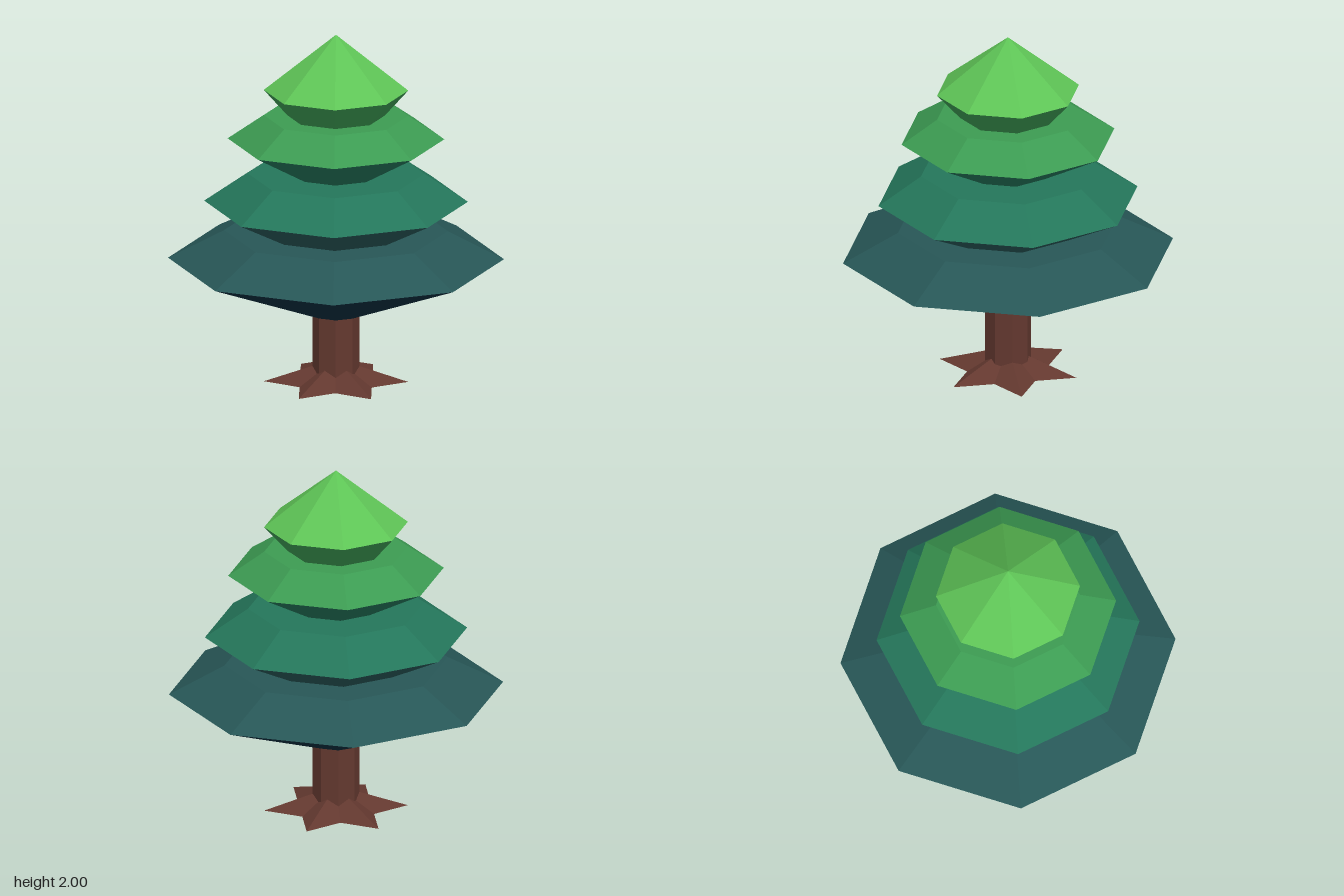
import * as THREE from 'three';

export function createModel() {
  const model = new THREE.Group();
  model.name = 'pineTree';

  const paint = (name, color) => {
    const m = new THREE.MeshStandardMaterial({ color, flatShading: true });
    m.name = name;
    return m;
  };
  const bark = paint('bark brown', 0x63382f);
  // from the shaded base of the tree up to the bright tip
  const greens = [
    paint('deep navy', 0x0a2d3d),
    paint('dark teal', 0x275656),
    paint('pine green', 0x24765a),
    paint('mid green', 0x3c9b52),
    paint('light green', 0x5ec456),
  ];

  const add = (name, geometry, material, y = 0, parent = model) => {
    const mesh = new THREE.Mesh(geometry, material);
    mesh.name = name;
    mesh.position.y = y;
    parent.add(mesh);
  };
  const octagon = (...profile) =>
    new THREE.LatheGeometry(profile.map(([r, y]) => new THREE.Vector2(r, y)), 8);

  // Roots: a six-pointed star, made by pulling in every other corner of a cone
  const roots = new THREE.ConeGeometry(0.4, 0.133, 12);
  const p = roots.attributes.position;
  for (let i = 0; i < p.count; i++) {
    const x = p.getX(i), z = p.getZ(i);
    if (Math.hypot(x, z) < 0.1) continue;
    const corner = Math.round(Math.atan2(x, z) / (Math.PI / 6));
    if (corner % 2 === 0) {
      p.setX(i, x * 0.577);
      p.setZ(i, z * 0.577);
    }
  }
  roots.computeVertexNormals();
  add('roots', roots, bark, 0.0665);

  // Trunk
  add('trunk', new THREE.CylinderGeometry(0.13, 0.13, 0.37, 8), bark, 0.205);

  // Foliage tiers: [radius, height] of the lower, widest and upper rings;
  // each underside takes the colour of the tier beneath it
  const tiers = [
    [[0.13, 0.39], [0.93, 0.71], [0.62, 0.87]],
    [[0.40, 0.87], [0.73, 1.04], [0.49, 1.20]],
    [[0.24, 1.20], [0.60, 1.40], [0.40, 1.535]],
    [[0.27, 1.535], [0.40, 1.68], [0, 2]],
  ];
  tiers.forEach(([low, mid, top], i) => {
    const tier = new THREE.Group();
    tier.name = `foliageTier${i + 1}`;
    const upper = top[0] > 0 ? [mid, top, [0, top[1]]] : [mid, top];
    add('underside', octagon(low, mid), greens[i], 0, tier);
    add('upperSide', octagon(...upper), greens[i + 1], 0, tier);
    model.add(tier);
  });

  return model;
}
